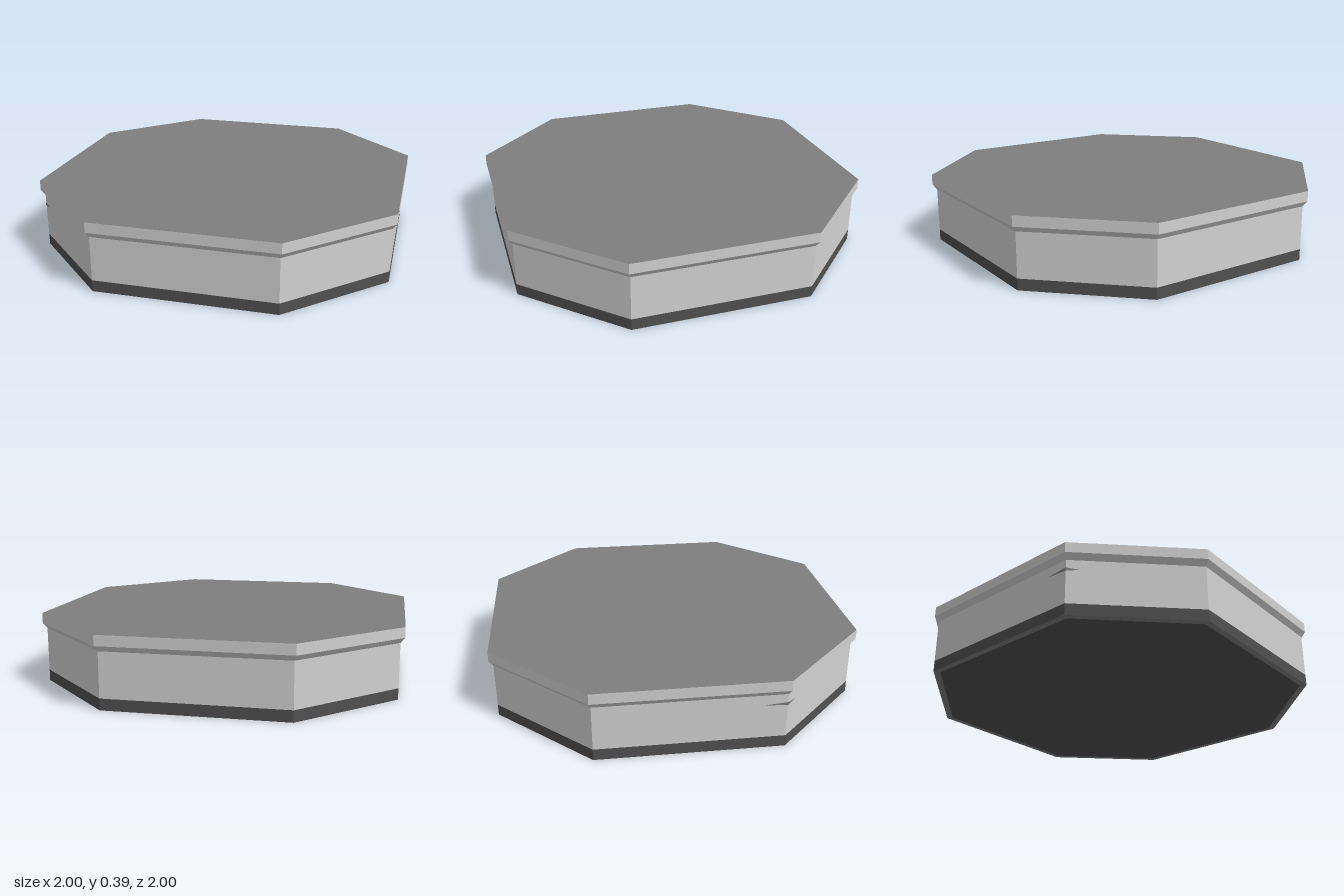
import * as THREE from 'three';

const mat = (name, color) => {
  const m = new THREE.MeshStandardMaterial({ color });
  m.name = name;
  return m;
};

// Corners of the octagon (long straight sides, cut corners), clockwise from above
const CORNERS = [[0.5, 1], [-0.5, 1], [-1, 0.5], [-1, -0.5], [-0.5, -1], [0.5, -1], [1, -0.5], [1, 0.5]];

// Flat-sided band between octagons, levels listed from the bottom up as [scale, y]
function band(levels) {
  const pos = [];
  for (let l = 0; l < levels.length - 1; l++) {
    for (let i = 0; i < 8; i++) {
      const p = (lv, c) => [c[0] * lv[0], lv[1], c[1] * lv[0]];
      const a = CORNERS[i], b = CORNERS[(i + 1) % 8];
      const a0 = p(levels[l], a), b0 = p(levels[l], b);
      const a1 = p(levels[l + 1], a), b1 = p(levels[l + 1], b);
      pos.push(...a0, ...a1, ...b0, ...b0, ...a1, ...b1);
    }
  }
  const g = new THREE.BufferGeometry();
  g.setAttribute('position', new THREE.Float32BufferAttribute(pos, 3));
  g.computeVertexNormals();
  return g;
}

// Horizontal octagon, facing up or down, with an optional octagonal hole
function plate(scale, y, up, hole) {
  const pts = s => CORNERS.map(([x, z]) => new THREE.Vector2(x * s, z * s));
  const shape = new THREE.Shape(pts(scale));
  if (hole) shape.holes.push(new THREE.Path(pts(hole)));
  return new THREE.ShapeGeometry(shape).rotateX(up ? -Math.PI / 2 : Math.PI / 2).translate(0, y, 0);
}

export function createModel() {
  const model = new THREE.Group();
  const wall = mat('light grey wall', 0xd2d2d2);
  const roof = mat('mid grey roof', 0x7e7e7e);
  const base = mat('dark grey base', 0x505050);
  const add = (name, geometry, material) => {
    const mesh = new THREE.Mesh(geometry, material);
    mesh.name = name;
    model.add(mesh);
    return mesh;
  };

  // Sides: plinth, wall, flared cornice
  add('plinth', band([[0.978, 0], [0.978, 0.062]]), base);
  add('wall', band([[0.978, 0.062], [0.978, 0.305]]), wall);
  add('cornice', band([[0.978, 0.305], [1, 0.335], [1, 0.392]]), wall);

  // Caps: flat roof, underside and its border
  add('roof', plate(1, 0.392, true), roof);
  add('underside', plate(0.945, 0, false), base);
  add('undersideBorder', plate(0.978, 0, false, 0.945), roof);

  // Small sliver wrapped round one corner of the wall
  const sliver = new THREE.BufferGeometry();
  sliver.setAttribute('position', new THREE.Float32BufferAttribute([
    -0.98, 0.242, 0.49, -0.93, 0.25, 0.54, -0.98, 0.26, 0.49,
    -0.98, 0.242, 0.49, -0.98, 0.26, 0.49, -0.98, 0.25, 0.37], 3));
  sliver.computeVertexNormals();
  add('cornerSliver', sliver, roof);
  return model;
}
